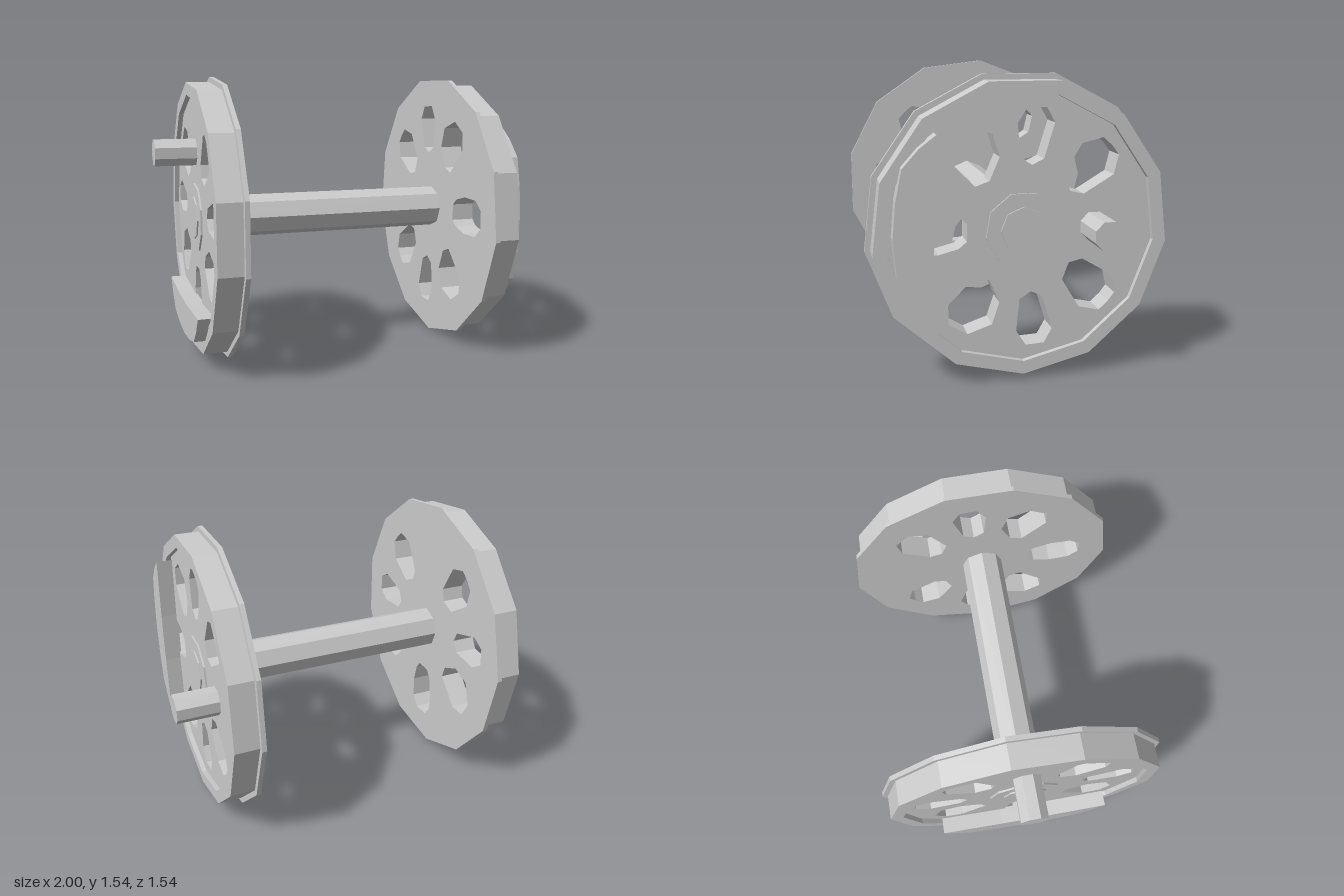
import * as THREE from 'three';

const material = new THREE.MeshStandardMaterial({ color: 0xcccccc, flatShading: true });
const AXLE_Y = 0.773;

// Regular polygon with its first corner at angle start
function ngon(sides, radius, start, cx = 0) {
  return Array.from({ length: sides }, (_, i) => {
    const a = start + (i / sides) * Math.PI * 2;
    return new THREE.Vector2(cx + radius * Math.cos(a), radius * Math.sin(a));
  });
}

const toPoints = (pairs) => pairs.map(([u, v]) => new THREE.Vector2(u, v));
const mirrored = (pairs) => pairs.map(([u, v]) => [u, -v]);

// Plate with outline (u = -z, v = y) running along x from x0 to x1
function plate(name, outline, x0, x1, holes = []) {
  const shape = new THREE.Shape(outline);
  for (const h of holes) shape.holes.push(new THREE.Path(h));
  const geo = new THREE.ExtrudeGeometry(shape, { depth: x1 - x0, bevelEnabled: false });
  geo.translate(0, 0, x0);
  geo.rotateY(Math.PI / 2);
  const mesh = new THREE.Mesh(geo, material);
  mesh.name = name;
  return mesh;
}

// Openings between spokes; the first three repeat below the centre line
const upperOpenings = [
  [[0.017, 0.6], [0.112, 0.596], [0.153, 0.522], [0.1, 0.348], [0.041, 0.319], [-0.017, 0.356], [-0.033, 0.522]],
  [[0.203, 0.269], [0.294, 0.418], [0.402, 0.443], [0.45, 0.4], [0.484, 0.356], [0.46, 0.257], [0.306, 0.166], [0.236, 0.182]],
  [[-0.377, 0.46], [-0.282, 0.518], [-0.157, 0.476], [-0.12, 0.364], [-0.17, 0.248], [-0.24, 0.224], [-0.377, 0.36]],
];
const weightOpening = [
  [-0.6, 0.05], [-0.54, 0.1], [-0.422, 0.104], [-0.323, 0.079], [-0.282, 0.045],
  [-0.282, -0.045], [-0.323, -0.079], [-0.422, -0.104], [-0.54, -0.1], [-0.6, -0.05],
];
const openings = [...upperOpenings, ...upperOpenings.map(mirrored), weightOpening].map(toPoints);

// Crescent counterweight
const weightUpper = [[-0.437, 0.489], [-0.52, 0.425], [-0.6, 0.335], [-0.632, 0.18]];
const weightOutline = toPoints([
  ...weightUpper, [-0.648, 0], ...mirrored(weightUpper).reverse(), [-0.456, -0.14], [-0.456, 0.14],
]);

// Wheel facing +x, crank pin towards -z
function makeWheel(name, start) {
  const wheel = new THREE.Group();
  wheel.name = name;
  const ring = (r) => ngon(13, r, start);
  wheel.add(
    plate('flange', ring(0.773), 0.65, 0.675, [ring(0.744)]),
    plate('rim', ring(0.744), 0.65, 0.805, [ring(0.675)]),
    plate('web', ring(0.675), 0.65, 0.778, openings),
    plate('hub', ngon(9, 0.192, start), 0.77, 0.788),
    plate('counterweight', weightOutline, 0.77, 0.865),
    plate('crankPin', ngon(8, 0.076, Math.PI / 8, 0.363), 0.77, 1),
  );
  wheel.position.y = AXLE_Y;
  return wheel;
}

export function createModel() {
  const model = new THREE.Group();
  model.name = 'wheelset';

  const axle = plate('axle', ngon(8, 0.117, 0), -0.796, 0.796);
  axle.position.y = AXLE_Y;

  const leftWheel = makeWheel('leftWheel', -Math.PI / 2);
  // Opposite wheel faces -x and is quartered a quarter turn
  const rightWheel = makeWheel('rightWheel', Math.PI / 2);
  rightWheel.rotation.set(Math.PI / 2, 0, Math.PI);

  model.add(axle, leftWheel, rightWheel);
  return model;
}
